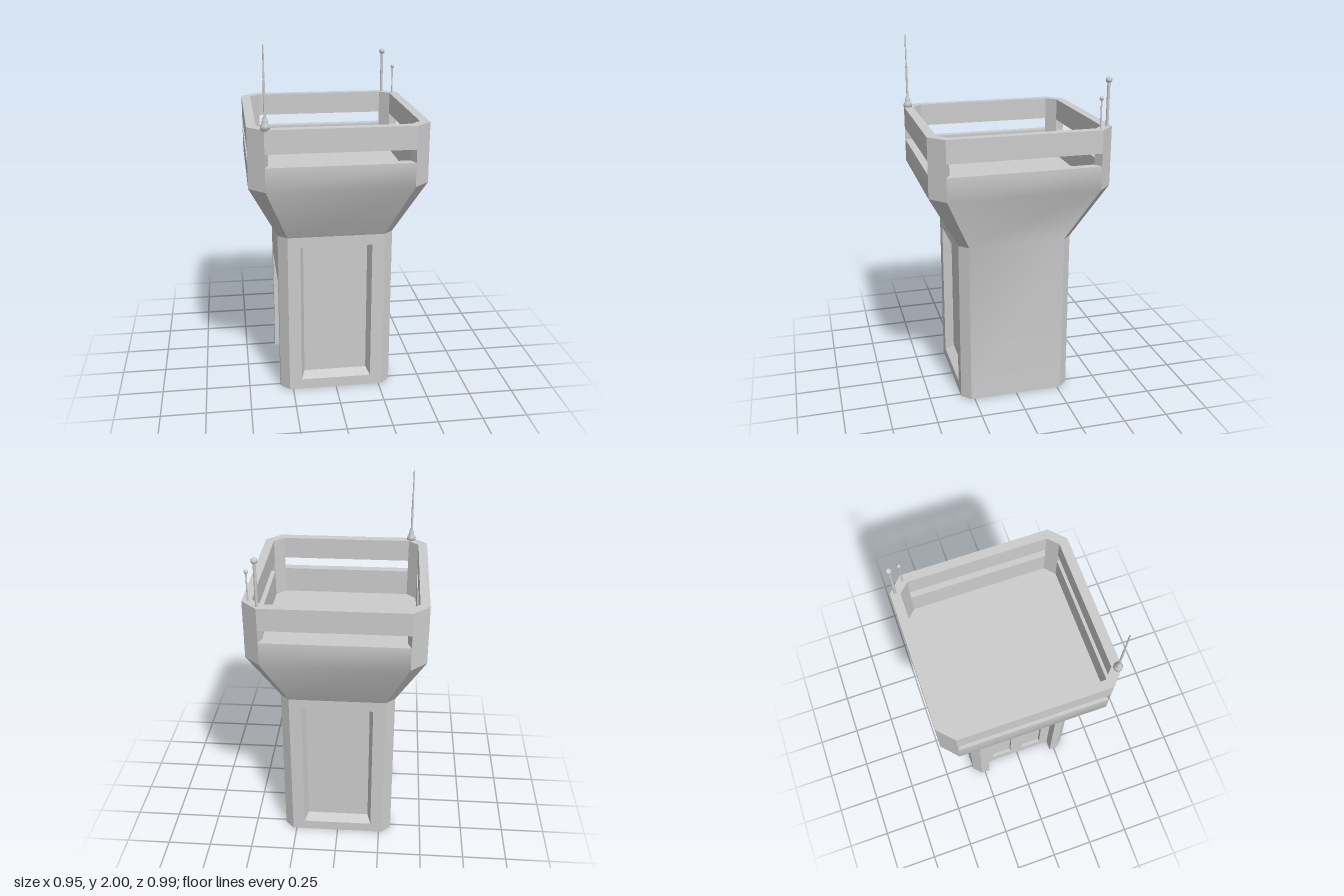
import * as THREE from 'three';

const mat = new THREE.MeshStandardMaterial({ color: 0xcccccc, side: THREE.DoubleSide });

function add(parent, geometry, name) {
  const mesh = new THREE.Mesh(geometry, mat);
  mesh.name = name;
  parent.add(mesh);
  return mesh;
}

// Strip of quads from rows of [left, right] points, smooth along its length
function strip(rows) {
  const g = new THREE.BufferGeometry();
  g.setAttribute('position', new THREE.Float32BufferAttribute(rows.flat(2), 3));
  const index = [];
  for (let i = 0; i < rows.length - 1; i++) {
    const a = i * 2;
    index.push(a, a + 1, a + 3, a, a + 3, a + 2);
  }
  g.setIndex(index);
  g.computeVertexNormals();
  return g;
}

// Chamfered rectangle at height y; even sides are walls, odd sides are corners
const octagon = (hx, hz, cx, cz, y) => [
  [-cx, y, hz], [cx, y, hz], [hx, y, cz], [hx, y, -cz],
  [cx, y, -hz], [-cx, y, -hz], [-hx, y, -cz], [-hx, y, cz],
];
const side = (ring, i) => [ring[i], ring[(i + 1) % 8]];

// Flat plan outline extruded from y0 to y1
function prism(points, y0, y1) {
  const shape = new THREE.Shape(points.map(p => new THREE.Vector2(p[0], -p[2])));
  const g = new THREE.ExtrudeGeometry(shape, { depth: y1 - y0, bevelEnabled: false });
  return g.rotateX(-Math.PI / 2).translate(0, y0, 0);
}

const rect = (x0, x1, y0, y1) => [[x0, y0], [x1, y0], [x1, y1], [x0, y1]];
const path = (pts, Type) => new Type(pts.map(p => new THREE.Vector2(...p)));

// Flat wall with openings, at depth z
function wall(outline, holes, z) {
  const shape = path(outline, THREE.Shape);
  shape.holes = holes.map(h => path(h, THREE.Path));
  return new THREE.ShapeGeometry(shape).translate(0, 0, z);
}

// Reveals joining an outer outline to an inner one; skips the sill if open
function reveals(parent, outer, inner, z0, z1, name, open = false) {
  for (let i = open ? 1 : 0; i < 4; i++) {
    const j = (i + 1) % 4;
    add(parent, strip([
      [[...outer[i], z0], [...outer[j], z0]],
      [[...inner[i], z1], [...inner[j], z1]],
    ]), name);
  }
}

// Wall group facing outwards in the given direction
function face(parent, angle, name) {
  const g = new THREE.Group();
  g.name = name;
  g.rotation.y = angle;
  g.position.set(Math.sin(angle) * 0.32, 0, Math.cos(angle) * 0.32);
  parent.add(g);
  return g;
}

function panelFace(parent, angle, name) {
  const g = face(parent, angle, name);
  const outer = rect(-0.2, 0.2, 0.06, 0.88), inner = rect(-0.18, 0.18, 0.09, 0.86);
  add(g, wall(rect(-0.27, 0.27, 0, 0.94), [outer], 0), 'panelFrame');
  reveals(g, outer, inner, 0, -0.05, 'panelReveal');
  add(g, wall(inner, [], -0.05), 'recessedPanel');
}

function doorFace(parent, angle) {
  const g = face(parent, angle, 'doorFace');
  const w = 0.22, h = 0.645, d = -0.06;
  add(g, wall([[-0.27, 0], [-w, 0], [-w, h], [w, h], [w, 0], [0.27, 0], [0.27, 0.94], [-0.27, 0.94]], [], 0), 'doorSurround');
  const alcove = rect(-w, w, 0, h);
  reveals(g, alcove, alcove, 0, d, 'alcoveReveal', true);
  const panes = [rect(-0.17, -0.045, 0.08, 0.58), rect(0.035, 0.16, 0.08, 0.58)];
  add(g, wall(alcove, panes, d), 'doors');
  for (const p of panes) {
    reveals(g, p, p, d, d - 0.02, 'doorPanelReveal');
    add(g, wall(p, [], d - 0.02), 'doorPanel');
  }
}

// Turned part at a corner of the rail
function turned(parent, profile, x, z, name) {
  const g = new THREE.LatheGeometry(profile.map(p => new THREE.Vector2(...p)), 16);
  add(parent, g, name).position.set(x, 0, z);
}

function ballAntenna(parent, x, z, y, r, rod, name) {
  const g = new THREE.Group();
  g.name = name;
  const bottom = 1.58;
  add(g, new THREE.CylinderGeometry(rod, rod, y - bottom, 12), 'rod').position.set(x, (y + bottom) / 2, z);
  add(g, new THREE.SphereGeometry(r, 16, 12), 'ball').position.set(x, y, z);
  parent.add(g);
}

export function createModel() {
  const tower = new THREE.Group();
  tower.name = 'tower';

  const base = octagon(0.32, 0.32, 0.27, 0.27, 0);
  const neck = octagon(0.32, 0.32, 0.27, 0.27, 0.94);
  const outer = y => octagon(0.475, 0.495, 0.39, 0.415, y);
  const inner = y => octagon(0.425, 0.443, 0.37, 0.39, y);
  const floorY = 1.24, flareY = 1.26, wallY = 1.39, railY = 1.46, topY = 1.585;

  for (let i = 0; i < 8; i++) {
    const at = ring => side(ring, i);
    const plan = [...at(outer(0)), ...at(inner(0)).reverse()];
    if (i % 2) {
      // Chamfered corners: shaft, flare, then a post up to the rail
      add(tower, strip([at(base), at(neck)]), 'shaftCorner');
      add(tower, strip([at(neck), at(outer(flareY))]), 'flareCorner');
      add(tower, prism(plan, flareY, topY), 'cornerPost');
      add(tower, strip([at(inner(flareY)), at(inner(floorY))]), 'postFoot');
    } else {
      // Broad sides: flared wall, parapet ledge and lining, rail above the gap
      const rows = [at(neck), at(outer(flareY)), at(outer(wallY))];
      if (i === 2) rows.unshift(at(base));
      add(tower, strip(rows), 'flaredWall');
      add(tower, strip([at(outer(wallY)), at(inner(wallY))]), 'parapetLedge');
      add(tower, strip([at(inner(wallY)), at(inner(floorY))]), 'parapetLining');
      add(tower, prism(plan, railY, topY), 'rail');
    }
  }

  // Platform floor
  add(tower, prism(inner(0), floorY - 0.005, floorY), 'platformFloor');

  // Shaft faces with openings
  panelFace(tower, 0, 'frontFace');
  panelFace(tower, Math.PI, 'backFace');
  doorFace(tower, -Math.PI / 2);

  // Whip antenna on a stepped base, and two ball-topped antennas
  turned(tower, [[0, 1.58], [0.024, 1.58], [0.024, 1.604], [0.016, 1.61], [0.016, 1.622],
    [0.012, 1.64], [0.006, 1.645], [0.006, 1.82], [0.004, 1.83], [0.004, 2], [0, 2]], -0.383, 0.473, 'whipAntenna');
  ballAntenna(tower, 0.388, -0.468, 1.83, 0.017, 0.008, 'tallBallAntenna');
  ballAntenna(tower, 0.443, -0.41, 1.745, 0.011, 0.004, 'shortBallAntenna');

  return tower;
}
